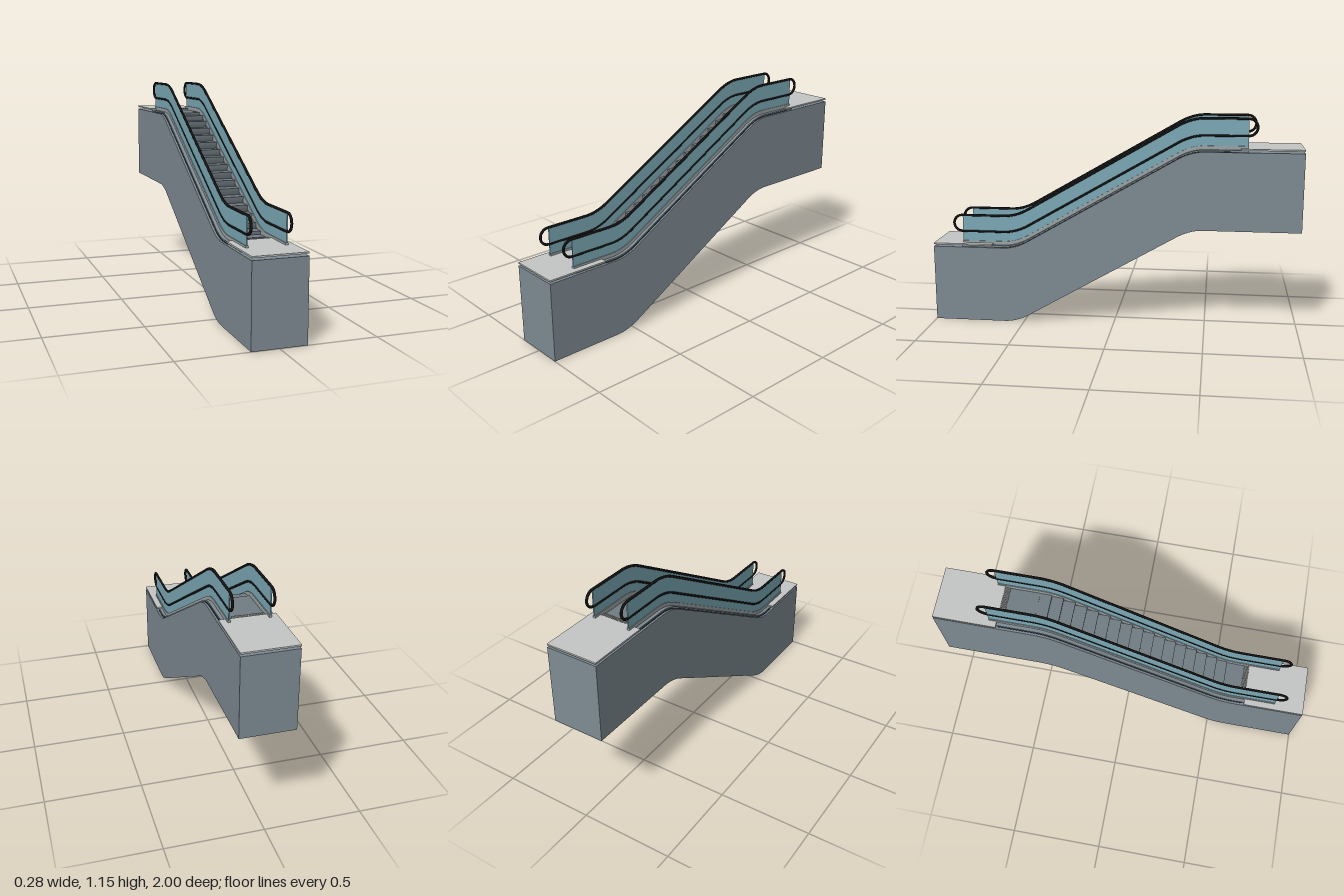
import * as THREE from 'three';
import { toCreasedNormals } from 'three/addons/utils/BufferGeometryUtils.js';

const material = (name, color) => {
  const m = new THREE.MeshStandardMaterial({ color });
  m.name = name;
  return m;
};

// Height of the escalator line above the lower floor: flat, 30 degree ramp, flat
const RISE = 0.55, SLOPE = Math.tan(Math.PI / 6), BEND = 0.07;
const Z_LOW = 0.54, Z_HIGH = Z_LOW - RISE / SLOPE;
const ease = (u) => (u < -BEND ? 0 : u > BEND ? u : (u + BEND) ** 2 / (4 * BEND));
const height = (z) => SLOPE * (ease(Z_LOW - z) - ease(Z_HIGH - z));

// z positions from front to back, dense around the two bends
function stations(zFront, zBack) {
  const list = [zFront, zBack];
  for (const c of [Z_LOW, Z_HIGH]) {
    for (let i = 0; i <= 10; i++) {
      const z = c + BEND - (i / 10) * 2 * BEND;
      if (z < zFront && z > zBack) list.push(z);
    }
  }
  return list.sort((a, b) => b - a);
}

// Extrude a (z, y) outline across the width from x0 to x1
function across(points, x0, x1) {
  const shape = new THREE.Shape(points.map(([z, y]) => new THREE.Vector2(z, y)));
  const geo = new THREE.ExtrudeGeometry(shape, { depth: x1 - x0, bevelEnabled: false });
  geo.rotateY(-Math.PI / 2).translate(x1, 0, 0);
  return toCreasedNormals(geo, 0.4);
}

// Band that follows the escalator line between two heights
function band(zFront, zBack, low, high, x0, x1) {
  const zs = stations(zFront, zBack);
  const bottom = zs.map((z) => [z, height(z) + low]);
  const top = zs.map((z) => [z, height(z) + high]).reverse();
  return across([...bottom, ...top], x0, x1);
}

// Closed handrail loop with round ends
function handrailPath(x) {
  const r = 0.045, mid = 0.548, zFront = 0.845, zBack = -0.71;
  const pts = [];
  const line = stations(zFront, zBack);
  const add = (z, y) => pts.push(new THREE.Vector3(x, y, z));
  line.forEach((z) => add(z, height(z) + mid + r));
  for (let i = 1; i < 10; i++) {
    const a = (i / 10) * Math.PI;
    add(zBack - r * Math.sin(a), RISE + mid + r * Math.cos(a));
  }
  [...line].reverse().forEach((z) => add(z, height(z) + mid - r));
  for (let i = 1; i < 10; i++) {
    const a = (i / 10) * Math.PI;
    add(zFront + r * Math.sin(a), mid - r * Math.cos(a));
  }
  const path = new THREE.CurvePath();
  pts.forEach((p, i) => path.add(new THREE.LineCurve3(p, pts[(i + 1) % pts.length])));
  path.autoClose = true;
  return path;
}

export function createModel() {
  const model = new THREE.Group();
  model.name = 'escalator';
  const cladding = material('blue grey cladding', 0x7f8c94);
  const glass = material('blue glass', 0x7dabb8);
  const rubber = material('black rubber', 0x111111);
  const plate = material('light floor plate', 0xc4c8c5);
  const trim = material('light grey trim', 0x9ca5a8);
  const stepMetal = material('step metal', 0x727d84);
  const gap = material('dark gap', 0x2b3136);

  const add = (name, geo, mat, parent = model) => {
    const mesh = new THREE.Mesh(geo, mat);
    mesh.name = name;
    parent.add(mesh);
    return mesh;
  };
  const box = (name, x0, x1, y0, y1, z0, z1, mat, parent) =>
    add(name, new THREE.BoxGeometry(x1 - x0, y1 - y0, z1 - z0), mat, parent)
      .position.set((x0 + x1) / 2, (y0 + y1) / 2, (z0 + z1) / 2);

  // Truss housing: trough in the middle, solid at both ends
  const W = 0.14, INNER = 0.092, TOP = 0.42;
  add('housingCentre', band(0.7, -0.7, 0, TOP - 0.06, -INNER, INNER), cladding);
  add('housingFront', band(1, 0.7, 0, TOP, -INNER, INNER), cladding);
  add('housingBack', band(-0.7, -1, 0, TOP, -INNER, INNER), cladding);

  // Sides and balustrades
  for (const s of [-1, 1]) {
    const side = new THREE.Group();
    side.name = s > 0 ? 'leftSide' : 'rightSide';
    model.add(side);
    const strip = (name, zf, zb, lo, hi, a, b, mat) =>
      add(name, band(zf, zb, lo, hi, Math.min(s * a, s * b), Math.max(s * a, s * b)), mat, side);
    strip('housingSide', 1, -1, 0, TOP, INNER, W, cladding);
    strip('deck', 0.84, -0.71, TOP, TOP + 0.01, 0.106, 0.125, cladding);
    strip('deckGap', 0.66, -0.66, TOP, TOP + 0.003, 0.125, 0.129, gap);
    strip('skirt', 0.84, -0.71, TOP, TOP + 0.03, 0.093, 0.107, trim);
    strip('glassPanel', 0.84, -0.71, TOP + 0.03, 0.588, 0.097, 0.103, glass);
    add('handrail', new THREE.TubeGeometry(handrailPath(s * 0.1), 320, 0.007, 8, true), rubber, side);
  }

  // Moving steps with curved risers
  const steps = new THREE.Group();
  steps.name = 'steps';
  model.add(steps);
  const DEPTH = 0.0605;
  for (let i = 0; i < 22; i++) {
    const nose = 0.6635 - i * DEPTH;
    const y = height(nose - DEPTH / 2) + 0.427;
    const back = nose - DEPTH - 0.012;
    const riser = [];
    for (let k = 0; k <= 5; k++) {
      const t = k / 5;
      riser.push([nose - 0.011 * t * t, y - 0.045 * t]);
    }
    add('step', across([...riser.reverse(), [nose, y], [back, y], [back, y - 0.045]]
      .filter((p, k, all) => k === 0 || p[0] !== all[k - 1][0] || p[1] !== all[k - 1][1]),
    -0.091, 0.091), stepMetal, steps);
  }

  // Landing plates with comb teeth
  for (const end of [1, -1]) {
    const y = end > 0 ? 0.431 : 0.431 + RISE;
    const landing = new THREE.Group();
    landing.name = end > 0 ? 'lowerLanding' : 'upperLanding';
    model.add(landing);
    box('floorPlate', -W, W, y, y + 0.008, Math.min(end, end * 0.67), Math.max(end, end * 0.67), plate, landing);
    for (let i = 0; i < 19; i++) {
      const x = -0.0855 + i * 0.0095;
      box('combTooth', x - 0.0026, x + 0.0026, y - 0.003, y + 0.005,
        Math.min(end * 0.642, end * 0.67), Math.max(end * 0.642, end * 0.67), plate, landing);
    }
  }
  return model;
}
